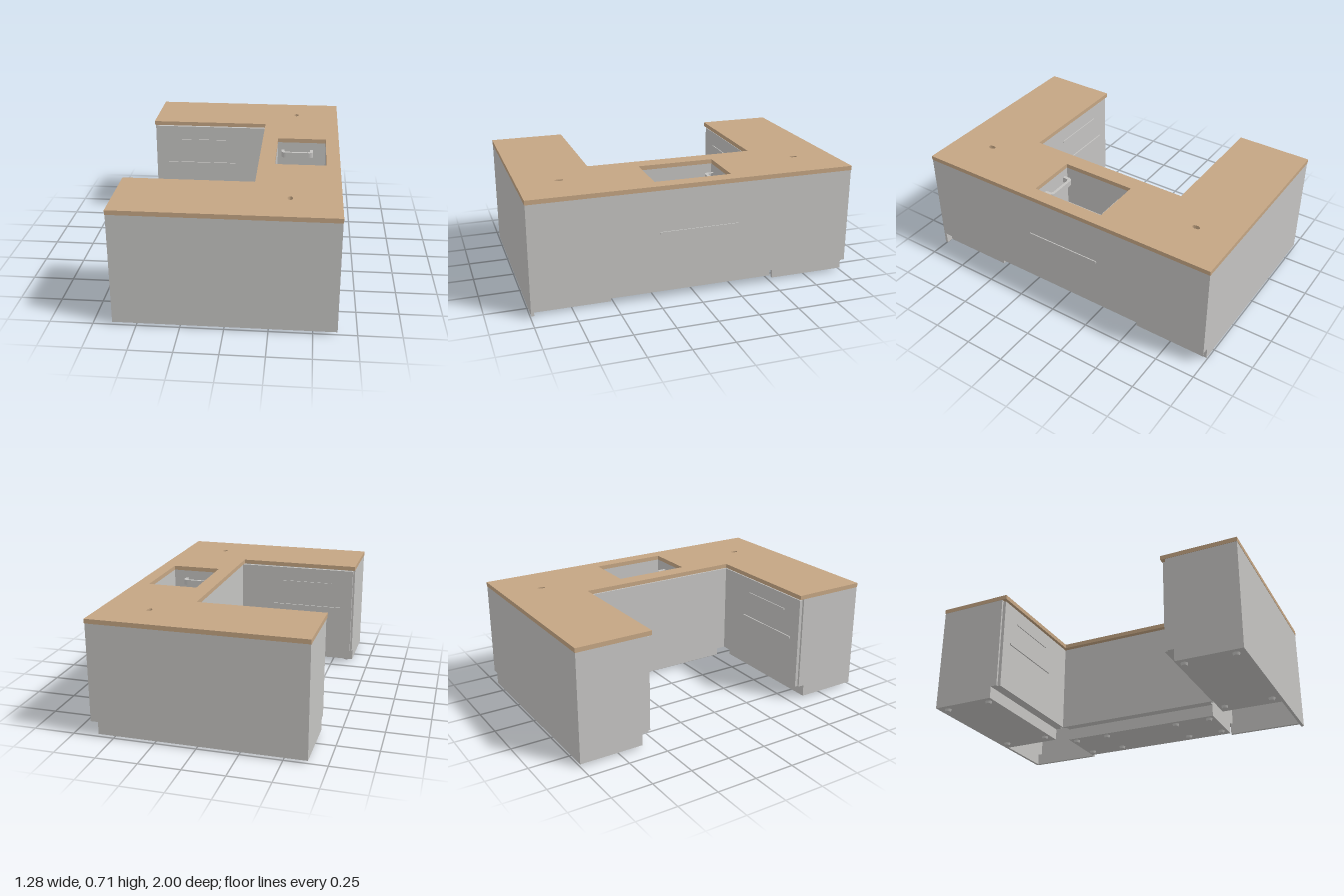
import * as THREE from 'three';

export function createModel() {
  const model = new THREE.Group();
  model.name = 'uShapedDesk';
  const wood = new THREE.MeshStandardMaterial({ name: 'wood', color: 0xc4a583 });
  const grey = new THREE.MeshStandardMaterial({ name: 'greyPanel', color: 0xc4c3c1 });

  const add = (name, geometry, material = grey) => {
    const mesh = new THREE.Mesh(geometry, material);
    mesh.name = name;
    model.add(mesh);
    return mesh;
  };
  // Box given by its limits on each axis
  const box = (name, x0, x1, y0, y1, z0, z1, material) => {
    const g = new THREE.BoxGeometry(x1 - x0, y1 - y0, Math.abs(z1 - z0));
    g.translate((x0 + x1) / 2, (y0 + y1) / 2, (z0 + z1) / 2);
    return add(name, g, material);
  };
  // Plan outline (x, z) extruded downwards from yTop
  const slab = (name, shape, yBottom, yTop, material) => {
    const g = new THREE.ExtrudeGeometry(shape, { depth: yTop - yBottom, bevelEnabled: false, curveSegments: 8 });
    g.rotateX(Math.PI / 2).translate(0, yTop, 0);
    return add(name, g, material);
  };
  const points = (list) => list.map(([x, z]) => new THREE.Vector2(x, z));
  const rect = (x0, x1, z0, z1) => points([[x0, z0], [x1, z0], [x1, z1], [x0, z1]]);

  const base = 0.015, kick = 0.09, under = 0.685, top = 0.712;

  // Worktop with the tub opening and two small oval recesses
  const worktop = new THREE.Shape(points([
    [-0.64, -1], [0.64, -1], [0.64, 1], [-0.64, 1],
    [-0.64, 0.53], [0.14, 0.53], [0.14, -0.53], [-0.64, -0.53],
  ]));
  worktop.holes.push(new THREE.Path(rect(0.24, 0.555, -0.24, 0.235)));
  for (const s of [-1, 1]) {
    worktop.holes.push(new THREE.Path().absellipse(0.35, s * 0.75, 0.015, 0.025, 0, Math.PI * 2, true));
    box('recessFloor', 0.32, 0.38, under - 0.004, under + 0.004, s * 0.72, s * 0.78, wood);
  }
  slab('worktop', worktop, under, top, wood);

  // Middle cabinet, hollowed for the tub
  const middle = new THREE.Shape(rect(0.175, 0.62, -0.52, 0.52));
  middle.holes.push(new THREE.Path(rect(0.24, 0.555, -0.24, 0.235)));
  slab('middleCabinet', middle, 0.42, under);
  box('middleCabinetLower', 0.175, 0.62, kick, 0.42, -0.52, 0.52);
  box('middlePlinth', 0.21, 0.56, base, kick, -0.52, 0.52);
  box('middleInnerFront', 0.155, 0.175, kick, under - 0.01, -0.54, 0.54);

  // Long outer panel and its raised lip
  box('outerPanel', 0.62, 0.638, kick, under, -0.98, 0.98);
  box('outerLip', 0.638, 0.644, 0.42, 0.432, -0.26, 0.23);

  for (const s of [-1, 1]) {
    // Arm cabinet, set-back plinth and inner front
    box('armCabinet', -0.62, 0.17, kick, under, s * 0.56, s * 0.98);
    box('armPlinth', -0.62, 0.17, base, kick, s * 0.6, s * 0.98);
    box('armFront', -0.625, 0.155, kick, under - 0.01, s * 0.54, s * 0.56);
    box('armEndPanel', -0.638, -0.62, kick, under, s * 0.56, s * 0.98);
    box('armEndPanelLower', -0.638, -0.62, base, kick, s * 0.6, s * 0.98);
    // Drawer pulls
    box('drawerPullLower', -0.55, -0.07, 0.4, 0.411, s * 0.532, s * 0.54);
    box('drawerPullUpper', -0.48, -0.12, 0.57, 0.581, s * 0.534, s * 0.54);
    // Full-width side panel; the back one is notched at the toe space
    const notch = s < 0 ? 0.045 : 0;
    box('sidePanel', -0.638, 0.638, kick, under, s * 0.98, s * 0.998);
    box('sidePanelLower', -0.638, 0.638 - notch, base, kick, s * 0.98, s * 0.998);
    // Plinth across the open corner
    box('cornerPlinth', 0.575, 0.595, base, kick, s * 0.52, s * 0.98);

    // Rounded loop handle inside the tub
    const w = s > 0 ? 0.235 : 0.24;
    const loop = (x0, x1, d, r) => {
      const p = new THREE.Shape();
      p.moveTo(x0, s * w);
      p.lineTo(x0, s * (w - d + r));
      p.quadraticCurveTo(x0, s * (w - d), x0 + r, s * (w - d));
      p.lineTo(x1 - r, s * (w - d));
      p.quadraticCurveTo(x1, s * (w - d), x1, s * (w - d + r));
      p.lineTo(x1, s * w);
      return p;
    };
    const handle = loop(0.265, 0.475, 0.06, 0.03);
    handle.holes.push(loop(0.285, 0.455, 0.042, 0.02));
    slab('tubHandle', handle, 0.6, 0.635);
  }

  // Low round feet
  const foot = (x, z) =>
    add('foot', new THREE.CylinderGeometry(0.022, 0.016, base, 10).translate(x, base / 2, z));
  for (const s of [-1, 1]) {
    for (const x of [-0.59, 0.09]) for (const z of [0.64, 0.94]) foot(x, s * z);
    for (const x of [0.25, 0.49]) for (const z of [0.25, 0.48]) foot(x, s * z);
  }
  return model;
}
